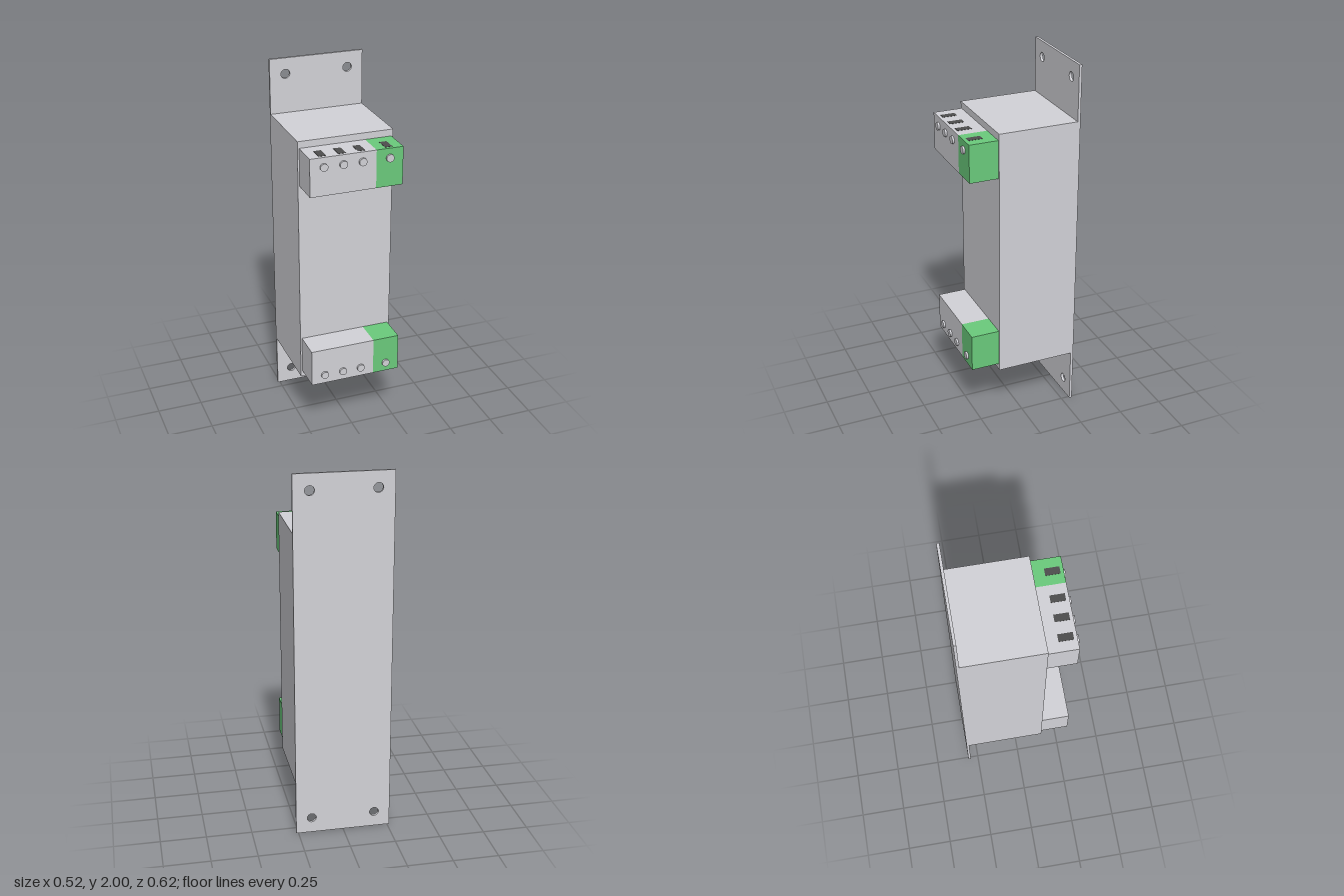
import * as THREE from 'three';

const grey = new THREE.MeshStandardMaterial({ color: 0xd3d3d8 });
grey.name = 'housing grey';
const green = new THREE.MeshStandardMaterial({ color: 0x6bcb7c });
green.name = 'terminal green';
const dark = new THREE.MeshStandardMaterial({ color: 0x4e4e4e });
dark.name = 'wire slot dark';

// Box given by its min and max corners
function box(name, material, [x0, y0, z0], [x1, y1, z1]) {
  const mesh = new THREE.Mesh(new THREE.BoxGeometry(x1 - x0, y1 - y0, z1 - z0), material);
  mesh.position.set((x0 + x1) / 2, (y0 + y1) / 2, (z0 + z1) / 2);
  mesh.name = name;
  return mesh;
}

// Flat back plate with four mounting holes
function mountingPlate() {
  const shape = new THREE.Shape();
  shape.moveTo(-0.262, 0).lineTo(0.262, 0).lineTo(0.262, 2).lineTo(-0.262, 2).closePath();
  for (const x of [-0.175, 0.175]) {
    for (const y of [0.087, 1.913]) {
      shape.holes.push(new THREE.Path().absarc(x, y, 0.025, 0, Math.PI * 2, true));
    }
  }
  const geometry = new THREE.ExtrudeGeometry(shape, { depth: 0.015, bevelEnabled: false, curveSegments: 16 });
  const mesh = new THREE.Mesh(geometry, grey);
  mesh.position.z = -0.31;
  mesh.name = 'mountingPlate';
  return mesh;
}

// Terminal strip; outward is +1 when the wire slots face up, -1 when they face down
function terminalStrip(name, centerY, outward) {
  const group = new THREE.Group();
  group.name = name;
  const h = 0.104;
  group.add(
    box('greyTerminal', grey, [-0.253, centerY - h, 0.141], [0.105, centerY + h, 0.299]),
    box('greenTerminal', green, [0.105, centerY - h, 0.141], [0.252, centerY + h, 0.299])
  );
  for (const x of [-0.179, -0.074, 0.03, 0.178]) {
    // Clamp screw on the front
    const screw = new THREE.Mesh(new THREE.CylinderGeometry(0.021, 0.021, 0.012, 20), grey);
    screw.rotation.x = Math.PI / 2;
    screw.position.set(x, centerY + outward * 0.052, 0.304);
    screw.name = 'screw';
    // Wire slot on the outer face
    const slotY = centerY + outward * h;
    group.add(screw, box('wireSlot', dark, [x - 0.02, slotY - 0.001, 0.203], [x + 0.02, slotY + 0.001, 0.281]));
  }
  return group;
}

export function createModel() {
  const model = new THREE.Group();
  model.name = 'dinModule';
  model.add(
    mountingPlate(),
    box('housing', grey, [-0.262, 0.305, -0.295], [0.262, 1.698, 0.141]),
    terminalStrip('upperTerminals', 1.557, 1),
    terminalStrip('lowerTerminals', 0.445, -1)
  );
  return model;
}
